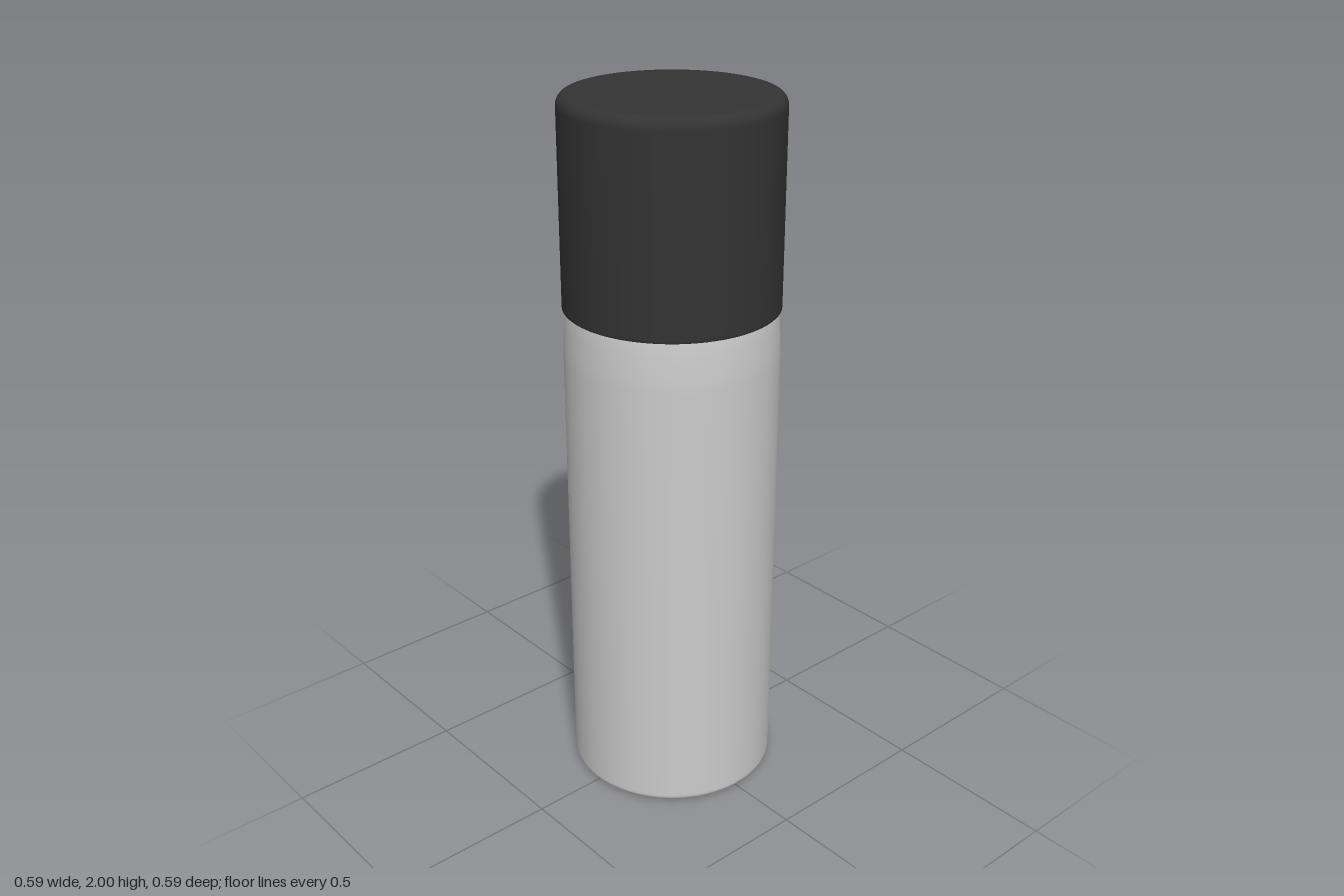
import * as THREE from 'three';

const SEGMENTS = 96;

// Points of a quarter-round corner, from angle a0 to a1 (degrees)
function arc(cx, cy, r, a0, a1, steps = 8) {
  return Array.from({ length: steps + 1 }, (_, i) => {
    const a = THREE.MathUtils.degToRad(a0 + ((a1 - a0) * i) / steps);
    return [cx + r * Math.cos(a), cy + r * Math.sin(a)];
  });
}

// Turned part from a profile of [radius, height] pairs
function turned(name, profile, color) {
  const points = profile.map(([r, y]) => new THREE.Vector2(r, y));
  const mesh = new THREE.Mesh(
    new THREE.LatheGeometry(points, SEGMENTS),
    new THREE.MeshStandardMaterial({ color })
  );
  mesh.name = name;
  return mesh;
}

export function createModel() {
  const group = new THREE.Group();
  group.name = 'cappedCan';

  // Can: flat base, rounded foot, straight wall, shoulder drawn in under the cap
  group.add(turned('canBody', [
    [0, 0], [0.27, 0],
    ...arc(0.275, 0.02, 0.02, -90, 0),
    [0.295, 0.03], [0.295, 1.29],
    [0.2945, 1.32], [0.293, 1.35], [0.2905, 1.39], [0.287, 1.43],
    [0.277, 1.48], [0.255, 1.53], [0.22, 1.56], [0.15, 1.58], [0, 1.58],
  ], 0xcccccc));

  // Cap: hollow shell with a thin open rim and a rounded top edge
  group.add(turned('cap', [
    [0, 1.97], [0.287, 1.97], [0.288, 1.969],
    [0.288, 1.433], [0.289, 1.43], [0.294, 1.43],
    [0.296, 1.432], [0.296, 1.44], [0.296, 1.965],
    ...arc(0.266, 1.97, 0.03, 0, 90),
    [0.26, 2], [0, 2],
  ], 0x333333));

  return group;
}
